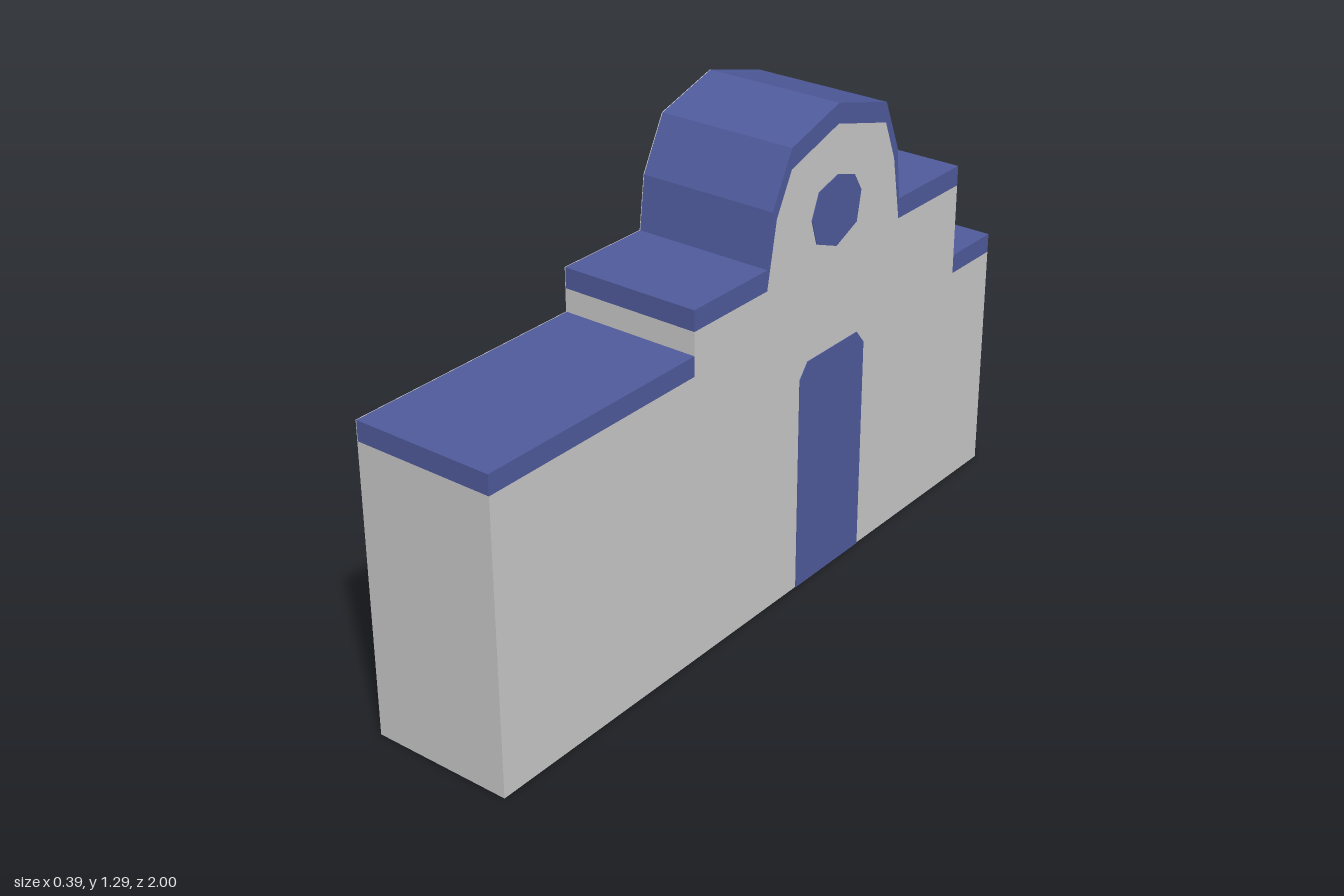
import * as THREE from 'three';

const HALF = 0.196; // half thickness of the facade
const SKIN = 0.002; // thickness of the rear skin and of the door and window panels

const grey = new THREE.MeshStandardMaterial({ color: 0xcccccc, flatShading: true });
const blue = new THREE.MeshStandardMaterial({ color: 0x505c9e, flatShading: true });

// Extrudes a side profile of [z, y] points from x0 to x1
function slab(name, points, x0, x1, material) {
  const shape = new THREE.Shape(points.map(([z, y]) => new THREE.Vector2(-z, y)));
  const geometry = new THREE.ExtrudeGeometry(shape, { depth: x1 - x0, bevelEnabled: false });
  geometry.translate(0, 0, x0);
  geometry.rotateY(Math.PI / 2);
  const mesh = new THREE.Mesh(geometry, material);
  mesh.name = name;
  return mesh;
}

export function createModel() {
  const group = new THREE.Group();
  group.name = 'steppedFacade';

  // Undersides and tops of the roof bands, from front to back
  const frontLow = [[1, 0.785], [0.305, 0.785]];
  const frontTop = [[1, 0.838], [0.305, 0.838]];
  const gableLow = [
    [0.305, 0.9], [0.025, 0.9], [-0.01, 1.075], [-0.067, 1.182], [-0.257, 1.24],
    [-0.464, 1.182], [-0.507, 1.075], [-0.538, 0.9], [-0.82, 0.9],
  ];
  const gableTop = [
    [0.305, 0.955], [0.025, 0.955], [0.007, 1.097], [-0.067, 1.236], [-0.257, 1.293],
    [-0.464, 1.236], [-0.522, 1.097], [-0.538, 0.955], [-0.82, 0.955],
  ];
  const backLow = [[-0.82, 0.645], [-1, 0.645]];
  const backTop = [[-0.82, 0.698], [-1, 0.698]];
  const base = [[-1, 0], [1, 0]];

  // Wall, and the plain skin that closes its rear side up to the roof line
  const inner = -HALF + SKIN;
  group.add(slab('wall', [...frontLow, ...gableLow, ...backLow, ...base], inner, HALF, grey));
  group.add(slab('rearSkin', [...frontTop, ...gableTop, ...backTop, ...base], -HALF, inner, grey));

  // Roof bands
  const bands = { frontRoof: [frontLow, frontTop], gableRoof: [gableLow, gableTop], backRoof: [backLow, backTop] };
  for (const [name, [low, top]] of Object.entries(bands)) {
    group.add(slab(name, [...low, ...[...top].reverse()], inner, HALF, blue));
  }

  // Door with clipped upper corners
  group.add(slab('door', [
    [-0.115, 0], [-0.115, 0.605], [-0.147, 0.645], [-0.362, 0.645], [-0.394, 0.605], [-0.394, 0],
  ], HALF - SKIN, HALF + SKIN, blue));

  // Eight-sided window in the gable
  group.add(slab('window', [
    [-0.259, 1.11], [-0.33, 1.088], [-0.361, 1.038], [-0.345, 0.957],
    [-0.259, 0.92], [-0.174, 0.953], [-0.152, 1.022], [-0.18, 1.088],
  ], HALF - SKIN, HALF + SKIN, blue));

  return group;
}
